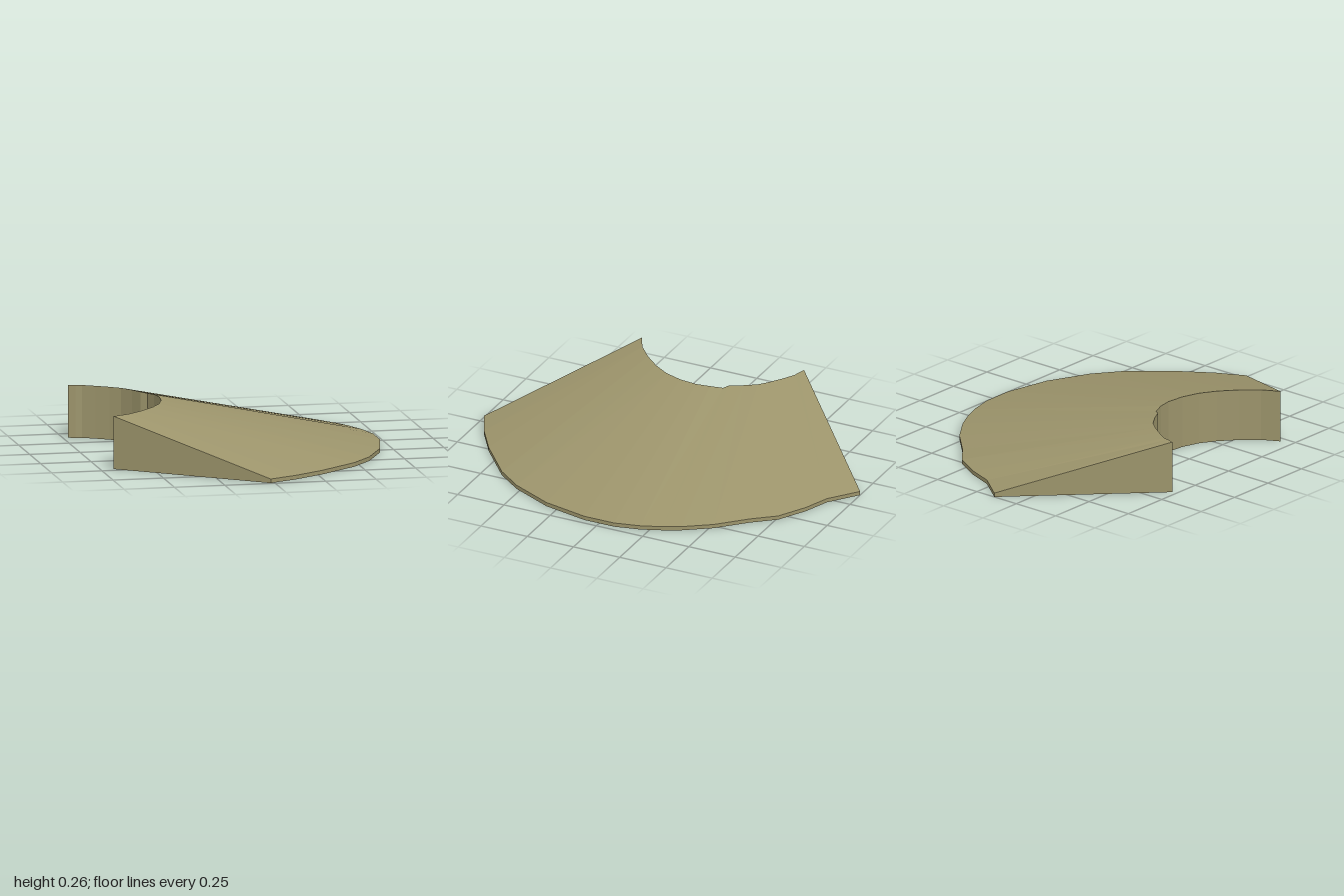
import * as THREE from 'three';

// Stations from the front end round to the back end:
// [inner x, inner z, outer x, outer z, height of inner edge]
const STATIONS = [
  [-0.685, 0.465, -0.02, 0.99, 0.26],
  [-0.60, 0.42, 0.12, 0.92, 0.26],
  [-0.52, 0.35, 0.27, 0.82, 0.26],
  [-0.45, 0.27, 0.47, 0.65, 0.26],
  [-0.40, 0.19, 0.57, 0.52, 0.26],
  [-0.37, 0.10, 0.67, 0.31, 0.26],
  [-0.36, 0.01, 0.72, 0.08, 0.26],
  [-0.37, -0.06, 0.72, -0.08, 0.26],
  [-0.39, -0.12, 0.69, -0.21, 0.255],
  [-0.42, -0.14, 0.65, -0.31, 0.26], // small step in the inner edge
  [-0.45, -0.20, 0.61, -0.39, 0.26],
  [-0.49, -0.26, 0.52, -0.52, 0.26],
  [-0.54, -0.30, 0.39, -0.65, 0.26],
  [-0.60, -0.34, 0.30, -0.76, 0.26],
  [-0.66, -0.375, 0.16, -0.84, 0.26],
  [-0.69, -0.38, 0.03, -0.89, 0.26],
  [-0.725, -0.392, -0.11, -1.0, 0.26],
];
const LIP = 0.02; // height of the thin outer edge

function rampGeometry() {
  const rings = STATIONS.map(([ix, iz, ox, oz, h]) => [
    [ix, 0, iz], [ix, h, iz], [ox, LIP, oz], [ox, 0, oz],
  ]);
  const pos = [];
  const quad = (a, b, c, d) => pos.push(...a, ...b, ...c, ...a, ...c, ...d);

  // Inner wall, slope, outer lip and underside
  for (let i = 0; i < rings.length - 1; i++) {
    const p = rings[i], q = rings[i + 1];
    for (let k = 0; k < 4; k++) {
      const n = (k + 1) % 4;
      quad(p[k], p[n], q[n], q[k]);
    }
  }
  // End walls
  const first = rings[0], last = rings[rings.length - 1];
  quad(first[0], first[3], first[2], first[1]);
  quad(last[0], last[1], last[2], last[3]);

  const geo = new THREE.BufferGeometry();
  geo.setAttribute('position', new THREE.Float32BufferAttribute(pos, 3));
  geo.computeVertexNormals();
  return geo;
}

export function createModel() {
  const group = new THREE.Group();
  group.name = 'curvedRamp';
  const material = new THREE.MeshStandardMaterial({ color: 0x9c946b });
  material.name = 'khaki';
  const ramp = new THREE.Mesh(rampGeometry(), material);
  ramp.name = 'ramp';
  group.add(ramp);
  return group;
}
